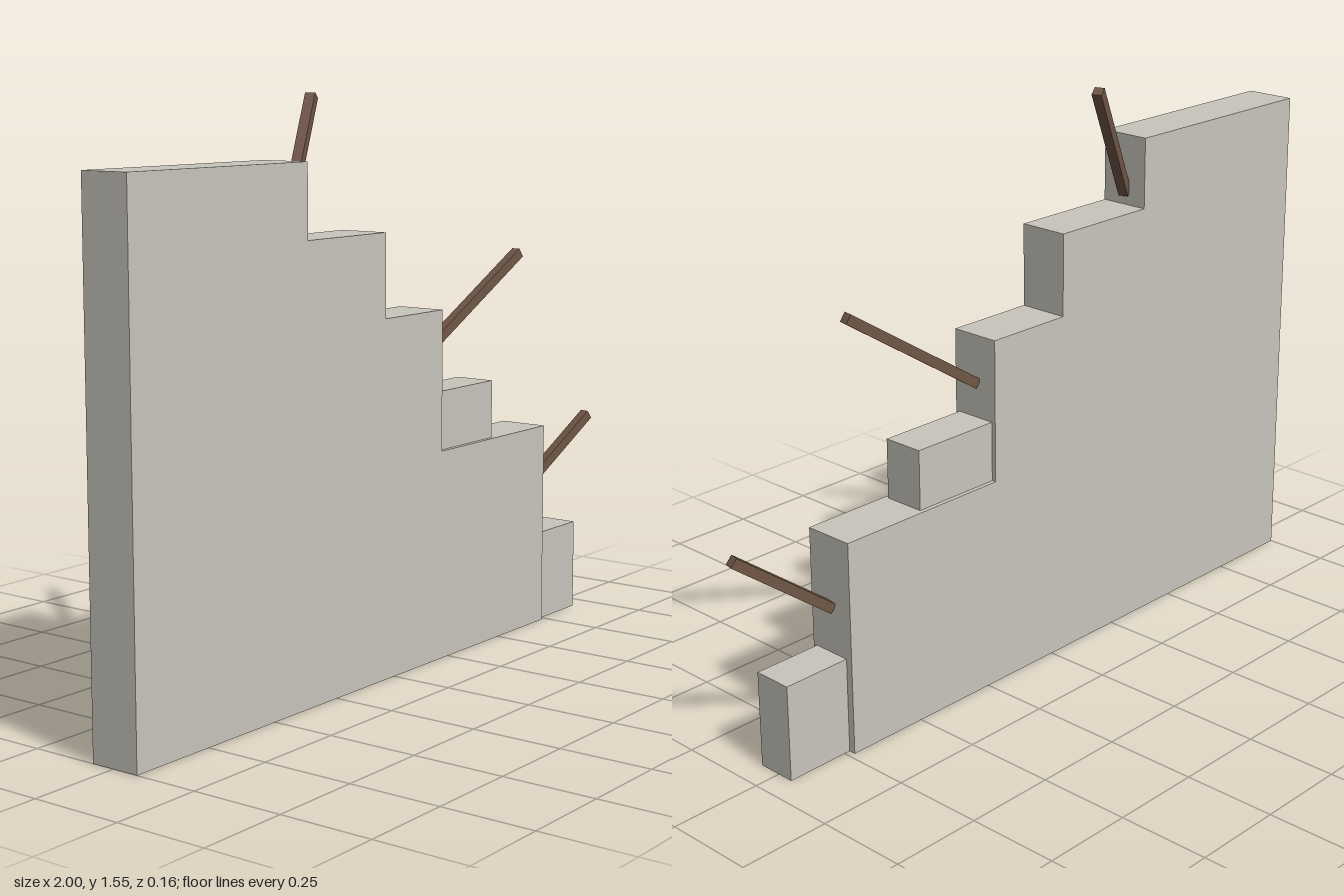
import * as THREE from 'three';

export function createModel() {
  const model = new THREE.Group();
  const stone = new THREE.MeshStandardMaterial({ name: 'stone grey', color: 0xc8c4bc });
  const wood = new THREE.MeshStandardMaterial({ name: 'dark wood', color: 0x705646 });

  const add = (name, geometry, material) => {
    const mesh = new THREE.Mesh(geometry, material);
    mesh.name = name;
    model.add(mesh);
    return mesh;
  };

  // Broken wall with a stepped edge
  const outline = [
    [-1, 0], [0.733, 0], [0.733, 0.58], [0.217, 0.58], [0.217, 0.966],
    [-0.04, 0.966], [-0.04, 1.19], [-0.361, 1.19], [-0.361, 1.383], [-1, 1.383],
  ].map(([x, y]) => new THREE.Vector2(x, y));
  const wall = add('steppedWall',
    new THREE.ExtrudeGeometry(new THREE.Shape(outline), { depth: 0.14, bevelEnabled: false }), stone);
  wall.position.z = -0.065;

  // Loose blocks resting against the steps
  const block = (name, x0, x1, y0, y1, z0, z1) => {
    const mesh = add(name, new THREE.BoxGeometry(x1 - x0, y1 - y0, z1 - z0), stone);
    mesh.position.set((x0 + x1) / 2, (y0 + y1) / 2, (z0 + z1) / 2);
  };
  block('upperBlock', 0.217, 0.477, 0.58, 0.742, -0.053, 0.063);
  block('lowerBlock', 0.733, 0.927, 0, 0.26, -0.046, 0.063);

  // Square rods sticking out of the broken edge
  const rod = (name, from, to) => {
    const a = new THREE.Vector3(...from), b = new THREE.Vector3(...to);
    const d = b.clone().sub(a);
    const mesh = add(name, new THREE.BoxGeometry(d.length(), 0.027, 0.027), wood);
    mesh.position.copy(a).add(b).multiplyScalar(0.5);
    mesh.rotation.set(0, Math.atan2(-d.z, d.x), Math.atan2(d.y, Math.hypot(d.x, d.z)), 'YZX');
  };
  rod('topRod', [-0.361, 1.223, 0.004], [-0.17, 1.54, -0.064]);
  rod('middleRod', [0.217, 0.836, 0.004], [0.602, 1.093, 0.063]);
  rod('lowerRod', [0.733, 0.386, 0.004], [0.989, 0.58, 0.063]);

  return model;
}
